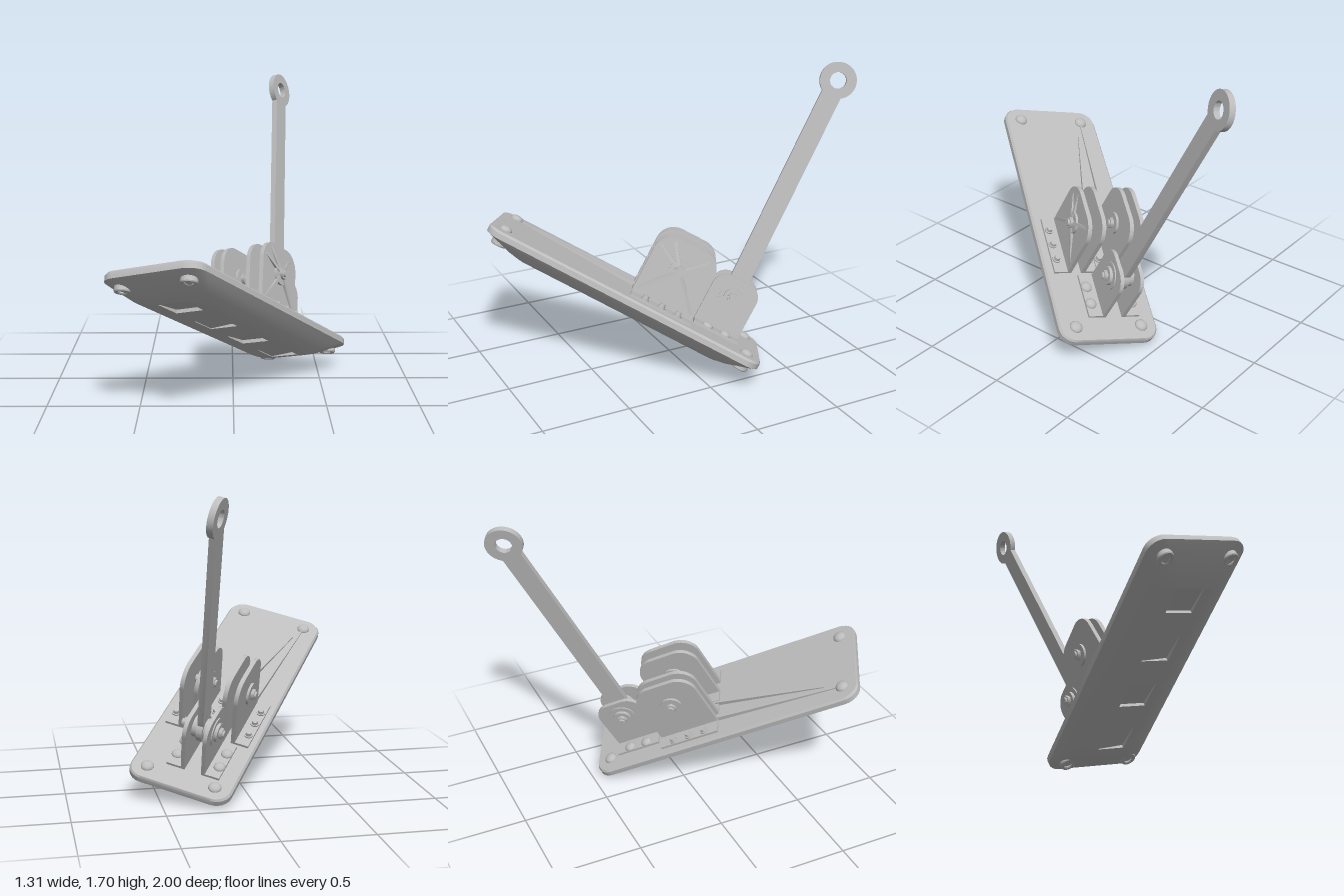
import * as THREE from 'three';
import { toCreasedNormals } from 'three/addons/utils/BufferGeometryUtils.js';

const metal = new THREE.MeshStandardMaterial({ color: 0xbcbcbc });
metal.name = 'grey metal';

function add(parent, name, geo, x = 0, y = 0, z = 0) {
  const mesh = new THREE.Mesh(geo, metal);
  mesh.name = name;
  mesh.position.set(x, y, z);
  parent.add(mesh);
  return mesh;
}

const points = list => list.map(([x, y]) => new THREE.Vector2(x, y));

// Corner points of a rounded rectangle, turning from +x towards +z
function roundedRing(hx, hz, r, steps = 6) {
  const pts = [];
  [[1, 1], [-1, 1], [-1, -1], [1, -1]].forEach(([sx, sz], k) => {
    for (let i = 0; i <= steps; i++) {
      const t = (k + i / steps) * Math.PI / 2;
      pts.push(new THREE.Vector2(sx * (hx - r) + r * Math.cos(t), sz * (hz - r) + r * Math.sin(t)));
    }
  });
  return pts;
}

// Skin between stacked rounded rectangles [hx, hz, r, y], listed downwards
function loft(levels) {
  const rings = levels.map(([hx, hz, r, y]) =>
    roundedRing(hx, hz, r).map(p => new THREE.Vector3(p.x, y, p.y)));
  const n = rings[0].length, pts = [];
  for (let k = 0; k < rings.length - 1; k++) {
    for (let i = 0; i < n; i++) {
      const j = (i + 1) % n, a = rings[k], b = rings[k + 1];
      pts.push(a[i], a[j], b[i], a[j], b[j], b[i]);
    }
  }
  return toCreasedNormals(new THREE.BufferGeometry().setFromPoints(pts), 0.5);
}

// Cylinder lying along x
const pin = (r, len, sides = 24) => new THREE.CylinderGeometry(r, r, len, sides).rotateZ(Math.PI / 2);

// Flat plate drawn in (z, y), its thickness centred on x
function sidePlate(shape, t) {
  const geo = new THREE.ExtrudeGeometry(shape, { depth: t, bevelEnabled: false, curveSegments: 20 });
  return toCreasedNormals(geo.translate(0, 0, -t / 2).rotateY(-Math.PI / 2), 0.5);
}

// Upright bracket cheek with rounded upper corners
function cheekShape(hw, h, r) {
  const s = new THREE.Shape();
  s.moveTo(-hw, 0);
  s.lineTo(hw, 0);
  s.lineTo(hw, h - r);
  s.absarc(hw - r, h - r, r, 0, Math.PI / 2);
  s.lineTo(-hw + r, h);
  s.absarc(-hw + r, h - r, r, Math.PI / 2, Math.PI);
  s.closePath();
  return s;
}

const dome = r => new THREE.SphereGeometry(r, 20, 8, 0, Math.PI * 2, 0, Math.PI / 2).scale(1, 0.65, 1);

// Open-bottomed recess; its roof slopes down towards +z, and towards -x when skewed
function pocketGeometry(half, depth, skewed) {
  const geo = new THREE.BoxGeometry(half * 2, depth, half * 2);
  const p = geo.attributes.position;
  for (let i = 0; i < p.count; i++) {
    if (p.getY(i) > 0 && (p.getZ(i) > 0 || (skewed && p.getX(i) < 0))) p.setY(i, -depth / 2 + 0.004);
  }
  const faces = Array.from(geo.index.array);
  faces.splice(18, 6);
  geo.setIndex(faces.reverse());
  geo.computeVertexNormals();
  return geo;
}

function buildBase(parent) {
  const hx = 0.299, hz = 0.835, d = 0.13;
  const base = new THREE.Group();
  base.name = 'base';
  parent.add(base);
  add(base, 'base skin', loft([
    [hx - 0.01, hz - 0.006, 0.085, 0], [hx, hz, 0.09, -0.012], [hx, hz, 0.09, -0.042],
    [hx - 0.025, hz - 0.045, 0.1, -0.065], [hx - 0.075, hz - 0.13, 0.11, -0.105],
    [hx - 0.12, hz - 0.19, 0.08, -0.123], [hx - 0.165, hz - 0.24, 0.04, -d]]));
  const top = new THREE.Shape(roundedRing(hx - 0.01, hz - 0.006, 0.085));
  add(base, 'base top', new THREE.ShapeGeometry(top).rotateX(-Math.PI / 2));

  // Underside with four ramped pockets
  const bottom = new THREE.Shape(roundedRing(hx - 0.165, hz - 0.24, 0.04));
  const half = 0.083, depth = 0.02;
  [0.508, 0.17, -0.17, -0.508].forEach((z, i) => {
    bottom.holes.push(new THREE.Path(points(
      [[-half, z - half], [-half, z + half], [half, z + half], [half, z - half]])));
    add(base, 'pocket', pocketGeometry(half, depth, i % 2 === 1), 0, -d + depth / 2, z);
  });
  add(base, 'base underside', new THREE.ShapeGeometry(bottom).rotateX(Math.PI / 2), 0, -d, 0);

  // Corner bolts: domed heads above, hollow bosses below
  const boss = points([[0.024, 0.02], [0.024, -0.043], [0.03, -0.048], [0.042, -0.048], [0.046, -0.042], [0.046, 0.03]]);
  for (const sx of [-1, 1]) for (const sz of [-1, 1]) {
    const x = sx * 0.2, z = sz * 0.745;
    add(base, 'corner bolt head', dome(0.037), x, 0, z);
    add(base, 'corner boss', toCreasedNormals(new THREE.LatheGeometry(boss, 24), 0.5), x, -0.045, z);
    add(base, 'corner bolt end', new THREE.CylinderGeometry(0.025, 0.025, 0.02, 16), x, -0.072, z);
  }

  // Thin stiffening ribs running out to one corner
  for (const [x0, z0, x1, z1] of [[-0.203, 0.715, -0.167, -0.02], [-0.168, 0.636, -0.04, -0.04]]) {
    const len = Math.hypot(x1 - x0, z1 - z0);
    const s = new THREE.Shape(points([[0, 0], [len, 0], [len, 0.025], [0, 0.006]]));
    const rib = add(base, 'base rib', new THREE.ExtrudeGeometry(s, { depth: 0.012, bevelEnabled: false }), x0, 0, z0);
    rib.rotation.y = Math.atan2(z0 - z1, x1 - x0);
  }
}

// Angle bracket: cheek at x with a bolted foot towards dir
function angleBracket(parent, name, x, dir, z, shape, hw, t, foot, screwZ, screw) {
  const g = new THREE.Group();
  g.name = name;
  g.position.set(x, 0, z);
  parent.add(g);
  add(g, 'cheek', sidePlate(shape, t));
  add(g, 'foot', new THREE.BoxGeometry(foot, 0.014, hw * 2), dir * foot / 2, 0.007, 0);
  for (const s of screwZ) screw(g, dir * foot * 0.69, s);
}

function buildBigBrackets(parent) {
  const pz = -0.207, py = 0.236, hw = 0.185;
  const screw = (g, x, z) => {
    add(g, 'screw washer', new THREE.CylinderGeometry(0.024, 0.024, 0.008, 20), x, 0.018, z);
    add(g, 'screw head', new THREE.CylinderGeometry(0.016, 0.018, 0.02, 12), x, 0.03, z);
  };
  for (const [x, dir, foot] of [[0.155, 1, 0.092], [0.07, -1, 0.083], [-0.1, 1, 0.083], [-0.165, -1, 0.092]]) {
    angleBracket(parent, 'large bracket', x, dir, pz, cheekShape(hw, 0.4, 0.11), hw, 0.024, foot, [-0.1, 0, 0.1], screw);
  }
  // Pivot bolts with washers and nuts
  for (const [a, b] of [[0.015, 0.21], [-0.225, -0.04]]) {
    add(parent, 'large pivot', pin(0.02, b - a), (a + b) / 2, py, pz);
    for (const [x, s] of [[a, 1], [b, -1]]) {
      add(parent, 'pivot nut', pin(0.032, 0.022, 6), x + s * 0.022, py, pz);
      add(parent, 'pivot washer', pin(0.062, 0.014), x + s * 0.037, py, pz);
    }
  }
  // Tapered ribs fanning from the hub on the outer cheek
  for (const [z, y] of [[0.175, -0.2], [-0.175, -0.2], [0.165, 0.09], [0.1, 0.14], [-0.13, 0.12]]) {
    const len = Math.hypot(z, y), t = 0.018;
    const s = new THREE.Shape(points([[0.03, 0], [len, 0], [0.03, 0.02]]));
    const rib = new THREE.ExtrudeGeometry(s, { depth: t, bevelEnabled: false }).translate(0, 0, -t / 2);
    rib.applyMatrix4(new THREE.Matrix4().makeBasis(new THREE.Vector3(0, y / len, z / len),
      new THREE.Vector3(1, 0, 0), new THREE.Vector3(0, z / len, -y / len)));
    add(parent, 'cheek rib', rib, 0.166, py, pz);
  }
}

function buildSmallBracket(parent) {
  const pz = -0.55, py = 0.215, mid = -0.045, hw = 0.138;
  const screw = (g, x, z) => add(g, 'foot bolt head', dome(0.033), x, 0.014, z);
  for (const dir of [1, -1]) {
    angleBracket(parent, 'small bracket', mid + dir * 0.06, dir, pz, cheekShape(hw, 0.325, 0.085), hw, 0.022,
      0.095, [-0.055, 0.055], screw);
    add(parent, 'small hub ring', pin(0.078, 0.008, 28), mid + dir * 0.074, py, pz);
    add(parent, 'small hub', pin(0.052, 0.02), mid + dir * 0.085, py, pz);
    add(parent, 'small nut', pin(0.032, 0.022, 6), mid + dir * 0.103, py, pz);
    add(parent, 'arm spacer', pin(0.06, 0.032), mid + dir * 0.033, py, pz);
  }
  add(parent, 'small pivot', pin(0.02, 0.25), mid, py, pz);

  // Long arm with an eye at its end
  const len = 1.345, w = 0.056, r = 0.102, a = Math.asin(w / r);
  const s = new THREE.Shape();
  s.absarc(0, 0, 0.075, Math.PI - 0.8, Math.PI * 2 + 0.8);
  s.lineTo(w, 0.08);
  s.lineTo(w, len - r * Math.cos(a));
  s.absarc(0, len, r, -Math.PI / 2 + a, Math.PI * 1.5 - a);
  s.lineTo(-w, 0.08);
  s.closePath();
  const eye = new THREE.Path();
  eye.absarc(0, len, 0.046, 0, Math.PI * 2, true);
  s.holes.push(eye);
  add(parent, 'arm', sidePlate(s, 0.034), mid, py, pz).rotation.x = 0.036;
}

export function createModel() {
  const model = new THREE.Group();
  model.name = 'hinged pad with arm';
  const body = new THREE.Group();
  body.name = 'tilted assembly';
  model.add(body);
  buildBase(body);
  buildBigBrackets(body);
  buildSmallBracket(body);

  // Tilt: z runs along the base, x across it, y out of it
  const u = new THREE.Vector3(-0.52, 0.445, 0.73).normalize();
  const v = new THREE.Vector3(0.852, 0.223, 0.471);
  v.addScaledVector(u, -v.dot(u)).normalize();
  const n = new THREE.Vector3().crossVectors(u, v);
  body.quaternion.setFromRotationMatrix(new THREE.Matrix4().makeBasis(v, n, u));

  // Centre on x and z and stand on the ground
  model.updateMatrixWorld(true);
  const box = new THREE.Box3().setFromObject(model, true);
  const c = box.getCenter(new THREE.Vector3());
  body.position.set(-c.x, -box.min.y, -c.z);
  return model;
}
